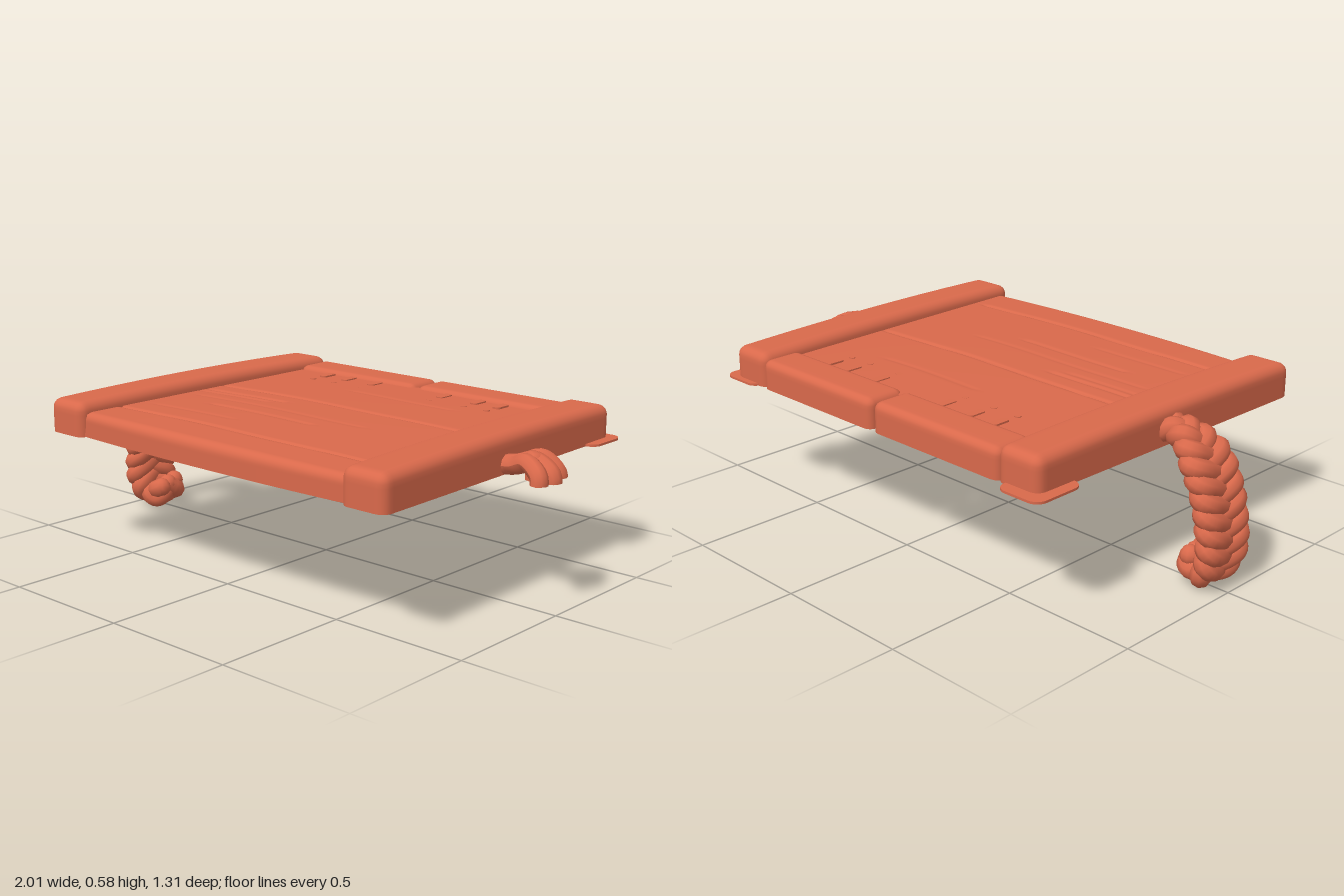
import * as THREE from 'three';

const terracotta = new THREE.MeshStandardMaterial({ color: 0xd9694b, side: THREE.DoubleSide });
terracotta.name = 'terracotta';

const BASE = 0.445;   // lower rim of the hollow board
const DECK = 0.532;   // plank surface

function add(group, name, geometry) {
  const mesh = new THREE.Mesh(geometry, terracotta);
  mesh.name = name;
  group.add(mesh);
  return mesh;
}

// Rounded bar, open underneath; walls chosen by `lift` stop at the deck.
function hollowBar({ x, z, w, l, top, r, skew = 0, arch = 0, lift }) {
  const h = top - BASE;
  const g = new THREE.BoxGeometry(w, h, l, Math.ceil(w / 0.015), 8, Math.ceil(l / 0.015));
  const p = g.attributes.position, n = g.attributes.normal;
  const v = new THREE.Vector3(), c = new THREE.Vector3(), d = new THREE.Vector3();
  for (let i = 0; i < p.count; i++) {
    v.fromBufferAttribute(p, i);
    c.set(
      THREE.MathUtils.clamp(v.x, -w / 2 + r, w / 2 - r),
      THREE.MathUtils.clamp(v.y, -h / 2, h / 2 - r),
      THREE.MathUtils.clamp(v.z, -l / 2 + r, l / 2 - r));
    d.subVectors(v, c);
    if (d.lengthSq() > 0) {
      d.normalize();
      n.setXYZ(i, d.x, d.y, d.z);
      v.copy(c).addScaledVector(d, r);
    }
    const k = v.z / (l / 2), f = (v.y + h / 2) / h;
    let y = BASE + h / 2 + v.y + arch * f * (1 - k * k);
    if (lift(v.x / (w / 2), k)) y = Math.max(y, DECK - 0.004);
    p.setXYZ(i, x + v.x + skew * k, y, z + v.z);
  }
  // leave out the underside
  const under = g.groups[3];
  const index = Array.from(g.index.array);
  index.splice(under.start, under.count);
  g.setIndex(index);
  g.clearGroups();
  return g;
}

// Shallow plank seams: [z, xStart, xEnd, depth]
const seams = [
  [-0.035, -0.55, 0.62, 0.008], [0.05, -0.56, -0.15, 0.006], [0.085, -0.56, -0.22, 0.004],
  [0.235, -0.35, 0.15, 0.005], [0.47, -0.57, 0.6, 0.008], [-0.26, -0.1, 0.35, 0.003],
  [0.15, -0.5, 0.3, 0.003], [0.36, -0.5, -0.1, 0.003],
];

// Plank deck that rolls over into the front wall
function deckGeometry() {
  const nx = 48, nz = 160, r = 0.028, zBack = -0.48;
  const flat = 0.64 - r - zBack, bend = r * Math.PI / 2, wall = DECK - r - BASE;
  const total = flat + bend + wall;
  const g = new THREE.PlaneGeometry(1, 1, nx, nz);
  const p = g.attributes.position;
  for (let i = 0; i < p.count; i++) {
    const x = 0.035 + p.getX(i) * 1.25;
    const s = (0.5 - p.getY(i)) * total;
    const u = (x - 0.035) / 0.625;
    const bow = 1 - u * u;
    let y, z;
    if (s < flat) {
      z = zBack + s;
      y = DECK + 0.008 * bow * (0.5 + 0.5 * Math.cos(z * 2));
      for (const [sz, a, b, depth] of seams) {
        if (x > a && x < b) {
          const off = (z - sz - 0.004 * Math.sin(x * 9)) / 0.007;
          y -= depth * Math.exp(-off * off);
        }
      }
    } else if (s < flat + bend) {
      const a = (s - flat) / r;
      z = 0.64 - r + r * Math.sin(a);
      y = DECK - r + r * Math.cos(a) + 0.004 * bow * Math.cos(a);
    } else {
      z = 0.64;
      y = DECK - r - (s - flat - bend);
    }
    const front = THREE.MathUtils.smoothstep(z, 0.4, 0.64);
    p.setXYZ(i, x, y, z + front * (0.018 * bow - 0.013));
  }
  g.computeVertexNormals();
  return g;
}

// Thin plate with rounded corners, lying flat
function plate(x0, x1, z0, z1, r, thick, y) {
  const s = new THREE.Shape();
  s.moveTo(x0 + r, -z0);
  s.absarc(x0 + r, -z0 - r, r, Math.PI / 2, Math.PI, false);
  s.absarc(x0 + r, -z1 + r, r, Math.PI, Math.PI * 1.5, false);
  s.absarc(x1 - r, -z1 + r, r, Math.PI * 1.5, Math.PI * 2, false);
  s.absarc(x1 - r, -z0 - r, r, 0, Math.PI / 2, false);
  const g = new THREE.ExtrudeGeometry(s, { depth: thick, bevelEnabled: false, curveSegments: 6 });
  return g.rotateX(-Math.PI / 2).translate(0, y, 0);
}

// Flat three-strand plait along a path in the xy plane
function braid(group) {
  const path = new THREE.CatmullRomCurve3([
    [-0.72, 0.5], [-0.8, 0.495], [-0.87, 0.44], [-0.92, 0.35], [-0.95, 0.24],
    [-0.957, 0.13], [-0.93, 0.06], [-0.88, 0.05], [-0.855, 0.095],
  ].map(([x, y]) => new THREE.Vector3(x, y, 0.01)));
  const steps = 90;
  for (let k = 0; k < 3; k++) {
    const pts = [];
    for (let i = 0; i <= steps; i++) {
      const t = i / steps;
      const a = t * 4 * Math.PI * 2 + k * Math.PI * 2 / 3;
      const spread = 0.03 + 0.053 * THREE.MathUtils.smoothstep(t, 0.05, 0.3)
        - 0.035 * THREE.MathUtils.smoothstep(t, 0.72, 0.95);
      const c = path.getPointAt(t), tan = path.getTangentAt(t);
      const off = 0.013 * Math.sin(2 * a);
      pts.push(new THREE.Vector3(c.x - tan.y * off, c.y + tan.x * off, c.z + spread * Math.sin(a)));
    }
    add(group, 'ropeStrand', new THREE.TubeGeometry(new THREE.CatmullRomCurve3(pts), 180, 0.036, 9));
    const tip = pts[steps];
    add(group, 'ropeTip', new THREE.SphereGeometry(0.036, 10, 8).translate(tip.x, tip.y, tip.z));
  }
}

// Short fanned rope stub, cut off level with the lower rim
function ropeStub(group) {
  const strands = [
    [0.07, 0.96, 0.47, 0.03], [0.015, 0.972, 0.468, 0.032], [-0.05, 0.95, 0.462, 0.03], [0.02, 0.91, 0.5, 0.034],
  ];
  for (const [z, x, y, r] of strands) {
    const curve = new THREE.CatmullRomCurve3([
      new THREE.Vector3(0.79, 0.475, 0.03),
      new THREE.Vector3(0.85, 0.485, 0.025 + z * 0.2),
      new THREE.Vector3(0.9, 0.502, z * 0.7),
      new THREE.Vector3(x, y, z),
      new THREE.Vector3(x + 0.005, 0.44, z * 1.05),
    ]);
    const g = new THREE.TubeGeometry(curve, 24, r, 10);
    const p = g.attributes.position;
    for (let i = 0; i < p.count; i++) p.setY(i, Math.max(p.getY(i), BASE));
    g.computeVertexNormals();
    add(group, 'stubStrand', g);
  }
}

export function createModel() {
  const model = new THREE.Group();

  add(model, 'plankDeck', deckGeometry());

  // side rails, slightly toed in towards the back
  const rail = { z: 0.022, w: 0.176, l: 1.26, top: 0.567, r: 0.035, arch: 0.011 };
  add(model, 'rightRail', hollowBar({ ...rail, x: -0.648, skew: -0.012, lift: (u) => u > 0.99 }));
  add(model, 'leftRail', hollowBar({ ...rail, x: 0.722, skew: 0.012, lift: (u) => u < -0.99 }));

  // two back bars with a narrow split between them
  const bar = { z: -0.53, w: 0.59, l: 0.16, top: 0.552, r: 0.03 };
  add(model, 'backBarRight', hollowBar({ ...bar, x: -0.262, lift: (u, k) => k > 0.99 || u < -0.99 }));
  add(model, 'backBarLeft', hollowBar({ ...bar, x: 0.338, lift: (u, k) => k > 0.99 || u > 0.99 }));

  // flat feet under the back corners
  add(model, 'rightFoot', plate(-0.768, -0.59, -0.655, -0.45, 0.04, 0.008, BASE));
  add(model, 'leftFoot', plate(0.66, 0.838, -0.63, -0.45, 0.04, 0.008, BASE));

  // small pegs and nail heads along the back bars
  for (const x of [-0.375, -0.265, -0.13, 0.205, 0.36, 0.46]) {
    add(model, 'peg', plate(x - 0.016, x + 0.016, -0.455, -0.385, 0.012, 0.008, DECK + 0.002));
    add(model, 'nailHead', plate(x - 0.015, x + 0.008, -0.35, -0.33, 0.008, 0.004, DECK + 0.003));
  }

  const rope = new THREE.Group();
  rope.name = 'hangingRope';
  braid(rope);
  const stub = new THREE.Group();
  stub.name = 'ropeStub';
  ropeStub(stub);
  model.add(rope, stub);
  return model;
}
